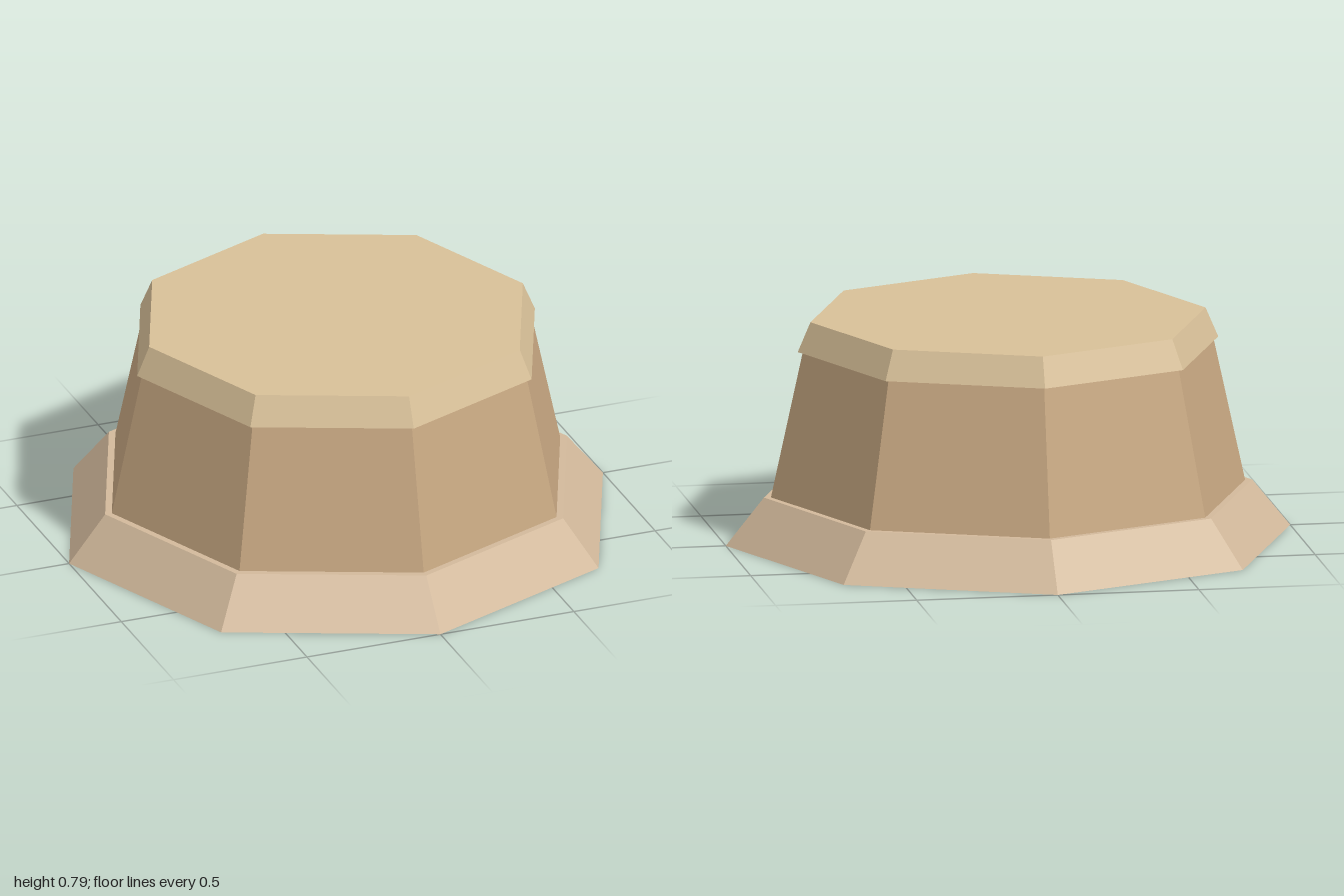
import * as THREE from 'three';

const SIDES = 8;

// One tapered octagonal tier, standing on y0 and ending at y1
function tier(name, bottomRadius, topRadius, y0, y1, color) {
  const geometry = new THREE.CylinderGeometry(topRadius, bottomRadius, y1 - y0, SIDES);
  const material = new THREE.MeshStandardMaterial({ color, flatShading: true });
  const mesh = new THREE.Mesh(geometry, material);
  mesh.name = name;
  mesh.position.y = (y0 + y1) / 2;
  return mesh;
}

export function createModel() {
  const group = new THREE.Group();
  group.name = 'octagonalPedestal';
  group.add(
    tier('flaredBase', 1, 0.865, 0, 0.167, 0xd2b99b), // wide foot
    tier('body', 0.84, 0.727, 0.167, 0.682, 0xc8a882), // tapered middle
    tier('cap', 0.745, 0.7, 0.682, 0.787, 0xd8c098), // overhanging top slab
  );
  return group;
}
